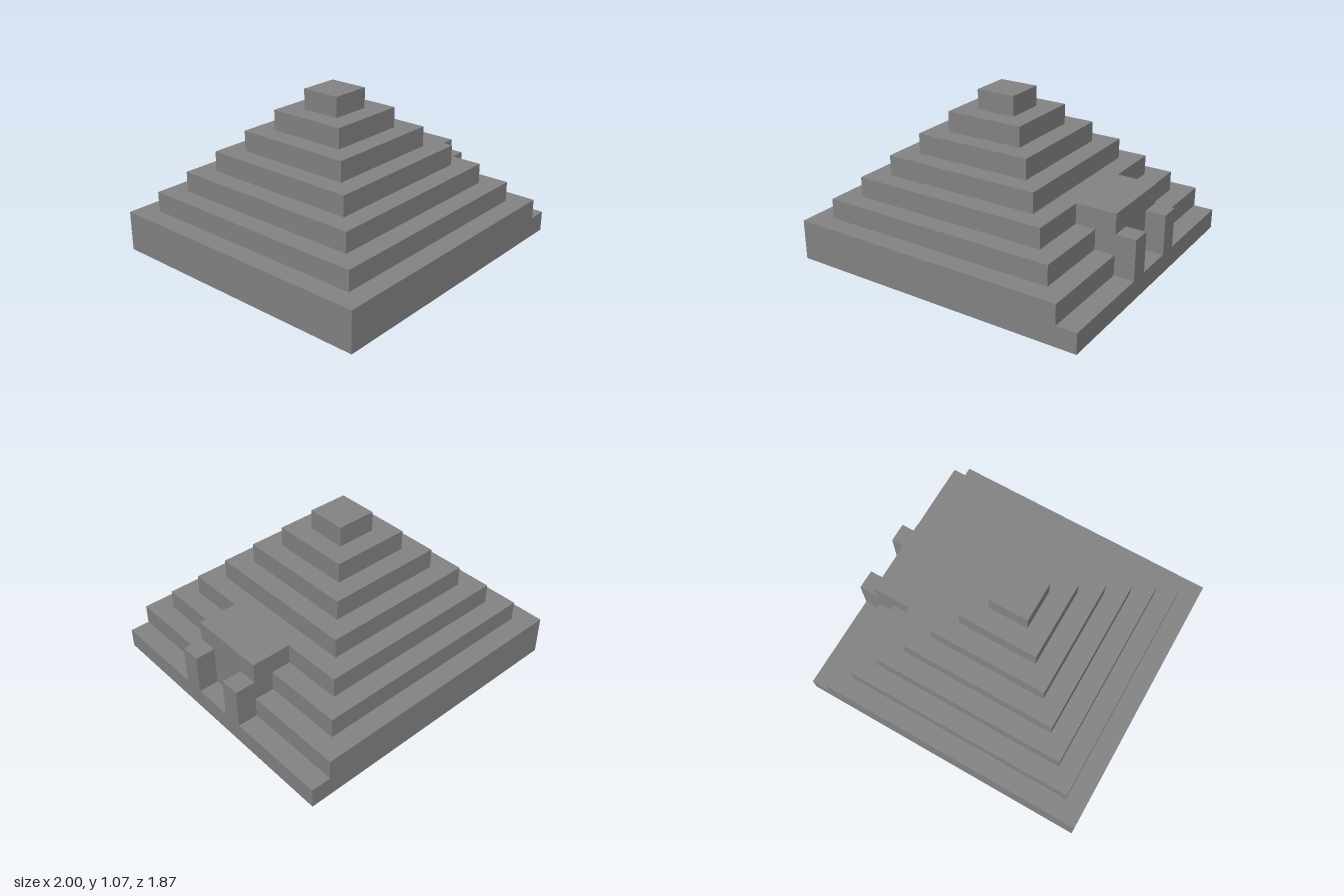
import * as THREE from 'three';

const U = 2 / 15; // one building block

export function createModel() {
  const group = new THREE.Group();
  const stone = new THREE.MeshStandardMaterial({ color: 0x848484 });
  stone.name = 'stone grey';

  // Box from its minimum corner and size, in block units
  function block(name, x, y, z, w, h, d) {
    const mesh = new THREE.Mesh(new THREE.BoxGeometry(w * U, h * U, d * U), stone);
    mesh.position.set((x + w / 2) * U, (y + h / 2) * U, (z + d / 2) * U);
    mesh.name = name;
    group.add(mesh);
  }

  // Ground slab, one block longer on the entrance side
  block('baseSlab', -7.5, 0, -7, 15, 1, 14);

  // Seven square steps, each two blocks narrower than the one below
  for (let i = 0; i < 7; i++) {
    const size = 14 - 2 * i;
    block('step' + (i + 1), -0.5 - size / 2, i + 1, -size / 2, size, 1, size);
  }

  // Entrance block reaching out from the fourth level
  block('entranceBlock', 4.5, 2, -2, 2, 2, 4);

  // Pillars on both sides of the entrance
  for (const z of [-2, 1]) block('entrancePillar', 6.5, 1, z, 1, 2, 1);

  return group;
}
